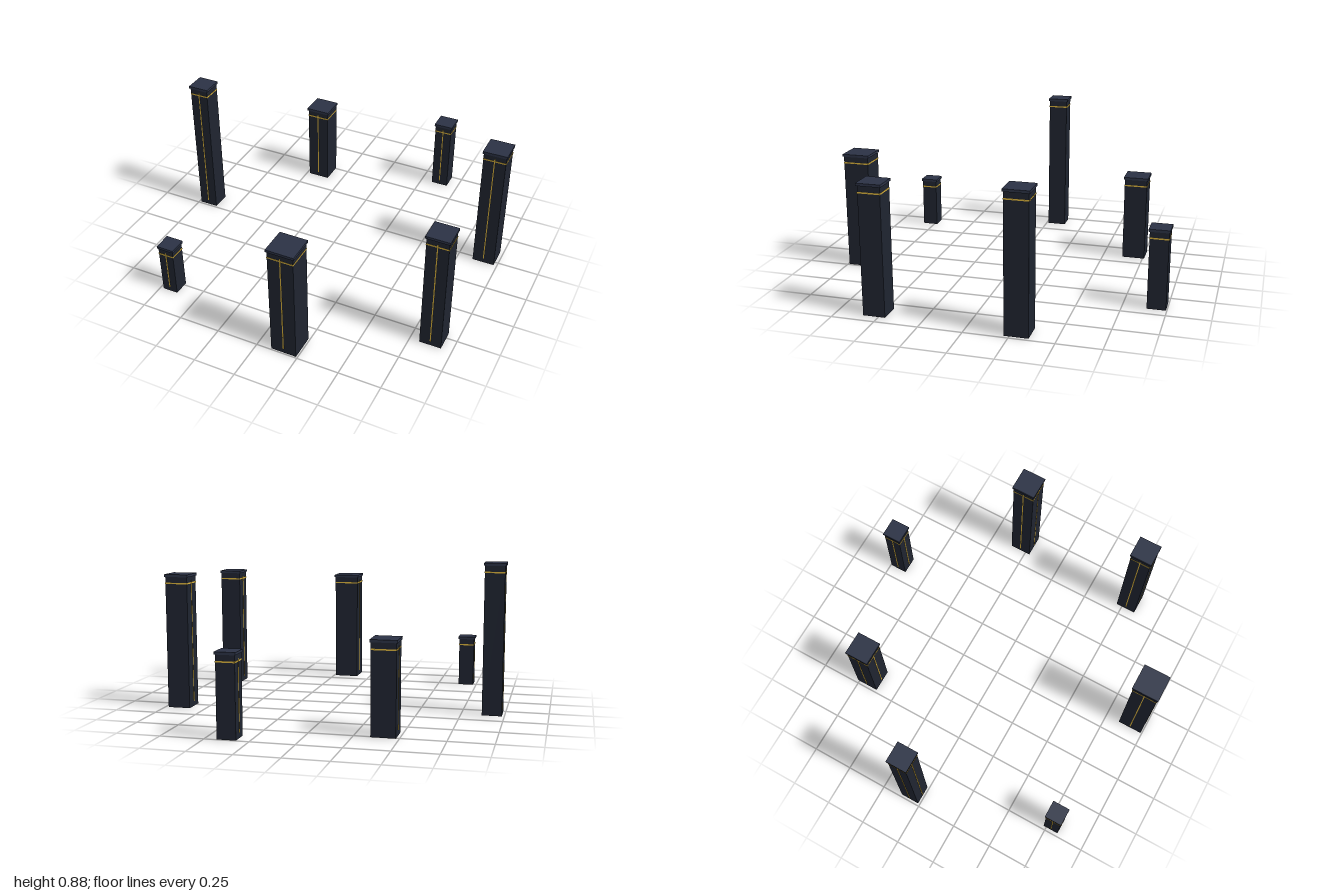
import * as THREE from 'three';

const bodyMat = new THREE.MeshStandardMaterial({ color: 0x1f2430 });
const capMat = new THREE.MeshStandardMaterial({ color: 0x2b3245 });
const goldMat = new THREE.MeshStandardMaterial({ color: 0xd9b23c });

// x, z, body width, height of each pillar in the ring
const pillars = [
  [-0.928, -0.07, 0.115, 0.884],
  [-0.413, -0.691, 0.138, 0.525],
  [0.377, -0.941, 0.107, 0.468],
  [0.912, -0.288, 0.135, 0.8],
  [0.872, 0.526, 0.128, 0.753],
  [0.164, 0.915, 0.153, 0.706],
  [-0.682, 0.78, 0.095, 0.322],
];

function box(name, mat, w, h, d, x, y, z) {
  const mesh = new THREE.Mesh(new THREE.BoxGeometry(w, h, d), mat);
  mesh.name = name;
  mesh.position.set(x, y, z);
  return mesh;
}

function createPillar(w, h) {
  const g = new THREE.Group();
  g.name = 'pillar';
  const capH = 0.015;

  // Shaft and overhanging cap slab
  g.add(box('shaft', bodyMat, w, h - capH, w, 0, (h - capH) / 2, 0));
  g.add(box('cap', capMat, w + 0.012, capH, w + 0.012, 0, h - capH / 2, 0));

  // Gold band below the cap
  g.add(box('band', goldMat, w + 0.003, 0.008, w + 0.003, 0, h - 0.053, 0));

  // Gold inlay lines on the front and one side face
  const y0 = 0.03, y1 = h - 0.038;
  const len = y1 - y0, mid = (y0 + y1) / 2;
  g.add(box('frontLine', goldMat, 0.006, len, 0.004, 0, mid, w / 2));
  g.add(box('sideLine', goldMat, 0.004, len, 0.006, -w / 2, mid, 0));
  return g;
}

export function createModel() {
  const model = new THREE.Group();
  model.name = 'pillarRing';
  for (const [x, z, w, h] of pillars) {
    const p = createPillar(w, h);
    p.position.set(x, 0, z);
    model.add(p);
  }
  return model;
}
